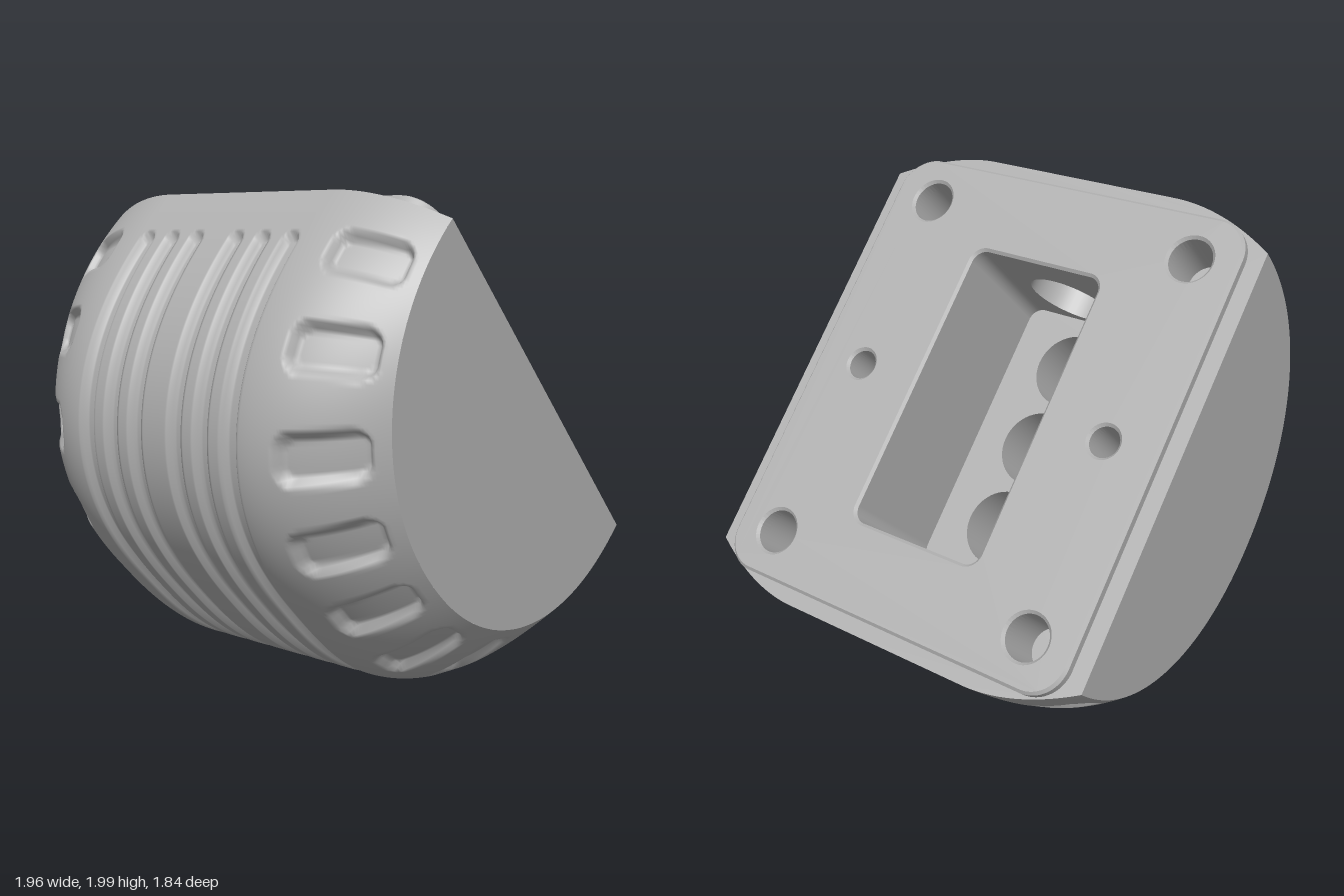
import * as THREE from 'three';

const HALF_Z = 0.92, RIM_FLAT = 0.45;
const PLATE_TOP = 0.045, POCKET_U = 0.63, POCKET_Z = 0.315, POCKET_R = 0.06, FLOOR = -0.555;

const grey = new THREE.MeshStandardMaterial({ color: 0xb0b0b0, side: THREE.DoubleSide });
grey.name = 'grey';

// Superellipse radius at angle t
const superRadius = (t, a, b, p) =>
  1 / Math.pow(Math.pow(Math.abs(Math.cos(t)) / a, p) + Math.pow(Math.sin(t) / b, p), 1 / p);

// Radius of the domed body at angle t and width z, without details
function bodyRadius(t, z) {
  const s = Math.pow(Math.max(0, (Math.abs(z) - RIM_FLAT) / (HALF_Z - RIM_FLAT)), 1.9);
  const outer = superRadius(t, 1.054, 1.235, 2.5);
  const inner = superRadius(t, 0.905, 0.975, 2.1);
  return outer + (inner - outer) * s;
}

// Depth of the long grip grooves and the rounded finger recesses
const recessAngles = [15.4, 35.5, 55, 72.7, 90, 107.3, 125, 144.5, 164.6].map(THREE.MathUtils.degToRad);
function recess(t, z, r) {
  const az = Math.abs(z);
  let depth = 0;
  for (const c of [0.11, 0.25, 0.395]) {
    const d = Math.hypot(az - c, Math.max(0, 0.26 - r * Math.sin(t)));
    depth = Math.max(depth, 0.03 * (1 - THREE.MathUtils.smoothstep(d, 0.024, 0.041)));
  }
  for (const c of recessAngles) {
    const qx = Math.abs(t - c) * r - 0.035, qz = Math.abs(az - 0.73) - 0.085;
    const d = Math.hypot(Math.max(qx, 0), Math.max(qz, 0));
    depth = Math.max(depth, 0.04 * (1 - THREE.MathUtils.smoothstep(d, 0.035, 0.062)));
  }
  return depth;
}

function shellGeometry() {
  const NT = 200, NZ = 184, pos = [], idx = [];
  for (let i = 0; i <= NT; i++) {
    const t = Math.PI * i / NT;
    for (let j = 0; j <= NZ; j++) {
      const z = HALF_Z * (2 * j / NZ - 1);
      const base = bodyRadius(t, z), r = base - recess(t, z, base);
      pos.push(r * Math.cos(t), -r * Math.sin(t), z);
      if (i < NT && j < NZ) {
        const a = i * (NZ + 1) + j, b = a + NZ + 1;
        idx.push(a, a + 1, b, b, a + 1, b + 1);
      }
    }
  }
  const g = new THREE.BufferGeometry();
  g.setAttribute('position', new THREE.Float32BufferAttribute(pos, 3));
  g.setIndex(idx);
  g.computeVertexNormals();
  return g;
}

function roundedRect(target, hx, hy, r) {
  target.moveTo(hx, -hy + r);
  target.absarc(hx - r, hy - r, r, 0, Math.PI / 2);
  target.absarc(-hx + r, hy - r, r, Math.PI / 2, Math.PI);
  target.absarc(-hx + r, -hy + r, r, Math.PI, Math.PI * 1.5);
  target.absarc(hx - r, -hy + r, r, Math.PI * 1.5, Math.PI * 2);
  return target;
}

function circleHole(x, y, r) {
  const p = new THREE.Path();
  p.absarc(x, y, r, 0, Math.PI * 2, true);
  return p;
}

export function createModel() {
  const model = new THREE.Group();
  model.name = 'grip';
  const body = new THREE.Group();
  body.name = 'tiltedBody';
  body.rotation.z = THREE.MathUtils.degToRad(-46.5);
  body.position.set(0.255, 1.235, 0);
  model.add(body);

  const add = (name, geometry, parent = body) => {
    const m = new THREE.Mesh(geometry, grey);
    m.name = name;
    parent.add(m);
    return m;
  };
  // Lays a flat shape in the plane of the mounting face
  const lay = (g, y) => g.rotateX(-Math.PI / 2).translate(0, y, 0);

  // Blind round hole running down from its mouth
  const blindHole = (name, r, depth) => {
    const g = new THREE.Group();
    g.name = name;
    add('holeWall', new THREE.CylinderGeometry(r, r, depth, 48, 1, true).translate(0, -depth / 2, 0), g);
    add('holeEnd', lay(new THREE.CircleGeometry(r, 48), -depth), g);
    body.add(g);
    return g;
  };

  // Domed shell with grooves and recesses
  add('shell', shellGeometry());

  // Flat sides
  const sidePts = [];
  for (let i = 0; i <= 100; i++) {
    const t = Math.PI * i / 100, r = bodyRadius(t, HALF_Z);
    sidePts.push(new THREE.Vector2(r * Math.cos(t), -r * Math.sin(t)));
  }
  const side = new THREE.ShapeGeometry(new THREE.Shape(sidePts));
  add('leftSide', side.clone().translate(0, 0, HALF_Z));
  add('rightSide', side.clone().rotateY(Math.PI).translate(0, 0, -HALF_Z));

  // Rim around the plate
  const rimPts = [];
  for (const s of [1, -1]) {
    for (let j = 0; j <= 60; j++) {
      const z = s * HALF_Z * (2 * j / 60 - 1);
      rimPts.push(new THREE.Vector2(s * bodyRadius(0, z), z));
    }
  }
  const rim = new THREE.Shape(rimPts);
  rim.holes.push(roundedRect(new THREE.Path(), 0.97, 0.83, 0.14));
  add('rim', lay(new THREE.ShapeGeometry(rim, 16), 0));

  // Mounting plate with its holes
  const plate = roundedRect(new THREE.Shape(), 0.99, 0.85, 0.15);
  plate.holes.push(roundedRect(new THREE.Path(), POCKET_U, POCKET_Z, POCKET_R));
  const screws = [];
  for (const s of [1, -1]) {
    screws.push(['pinHole', 0, s * 0.614, 0.064]);
    for (const u of [-0.795, 0.795]) screws.push(['cornerHole', u, s * 0.643, 0.092]);
  }
  for (const [name, u, z, r] of screws) {
    plate.holes.push(circleHole(u, z, r));
    blindHole(name, r, 0.24).position.set(u, 0.03, z);
  }
  const bevel = 0.012;
  add('mountingPlate', lay(new THREE.ExtrudeGeometry(plate, {
    depth: PLATE_TOP + 0.03 - 2 * bevel, bevelThickness: bevel, bevelSize: bevel,
    bevelOffset: -bevel, bevelSegments: 1, curveSegments: 20,
  }), -0.03 + bevel));

  // Pocket side walls with rounded corners
  for (const s of [1, -1]) {
    const pos = [], idx = [], N = 8, line = [];
    for (const e of [1, -1]) {
      for (let k = 0; k <= N; k++) {
        const a = Math.PI / 2 * (e > 0 ? k / N : 1 - k / N);
        line.push([e * (POCKET_U - POCKET_R + POCKET_R * Math.cos(a)),
          s * (POCKET_Z - POCKET_R + POCKET_R * Math.sin(a))]);
      }
    }
    line.forEach(([u, z], k) => {
      pos.push(u, 0, z, u, FLOOR, z);
      const a = 2 * k;
      if (k < line.length - 1) {
        if (s > 0) idx.push(a, a + 1, a + 2, a + 2, a + 1, a + 3);
        else idx.push(a, a + 2, a + 1, a + 2, a + 3, a + 1);
      }
    });
    const g = new THREE.BufferGeometry();
    g.setAttribute('position', new THREE.Float32BufferAttribute(pos, 3));
    g.setIndex(idx);
    g.computeVertexNormals();
    add('pocketSideWall', g);
  }

  // Pocket end walls, each with a round hole
  const w = POCKET_Z - POCKET_R;
  const endWall = new THREE.Shape([[-w, FLOOR], [w, FLOOR], [w, 0], [-w, 0]].map(p => new THREE.Vector2(...p)));
  endWall.holes.push(circleHole(0, -0.323, 0.195));
  for (const s of [1, -1]) {
    add('pocketEndWall', new THREE.ShapeGeometry(endWall, 24).rotateY(-s * Math.PI / 2).translate(s * POCKET_U, 0, 0));
    const hole = blindHole('endHole', 0.195, 0.19);
    hole.rotation.z = s * Math.PI / 2;
    hole.position.set(s * POCKET_U, -0.323, 0);
  }

  // Pocket floor with three round holes
  const floor = roundedRect(new THREE.Shape(), POCKET_U, POCKET_Z, POCKET_R);
  for (const u of [-0.385, 0, 0.385]) {
    floor.holes.push(circleHole(u, 0, 0.168));
    blindHole('floorHole', 0.168, 0.22).position.set(u, FLOOR, 0);
  }
  add('pocketFloor', lay(new THREE.ShapeGeometry(floor, 24), FLOOR));

  return model;
}
